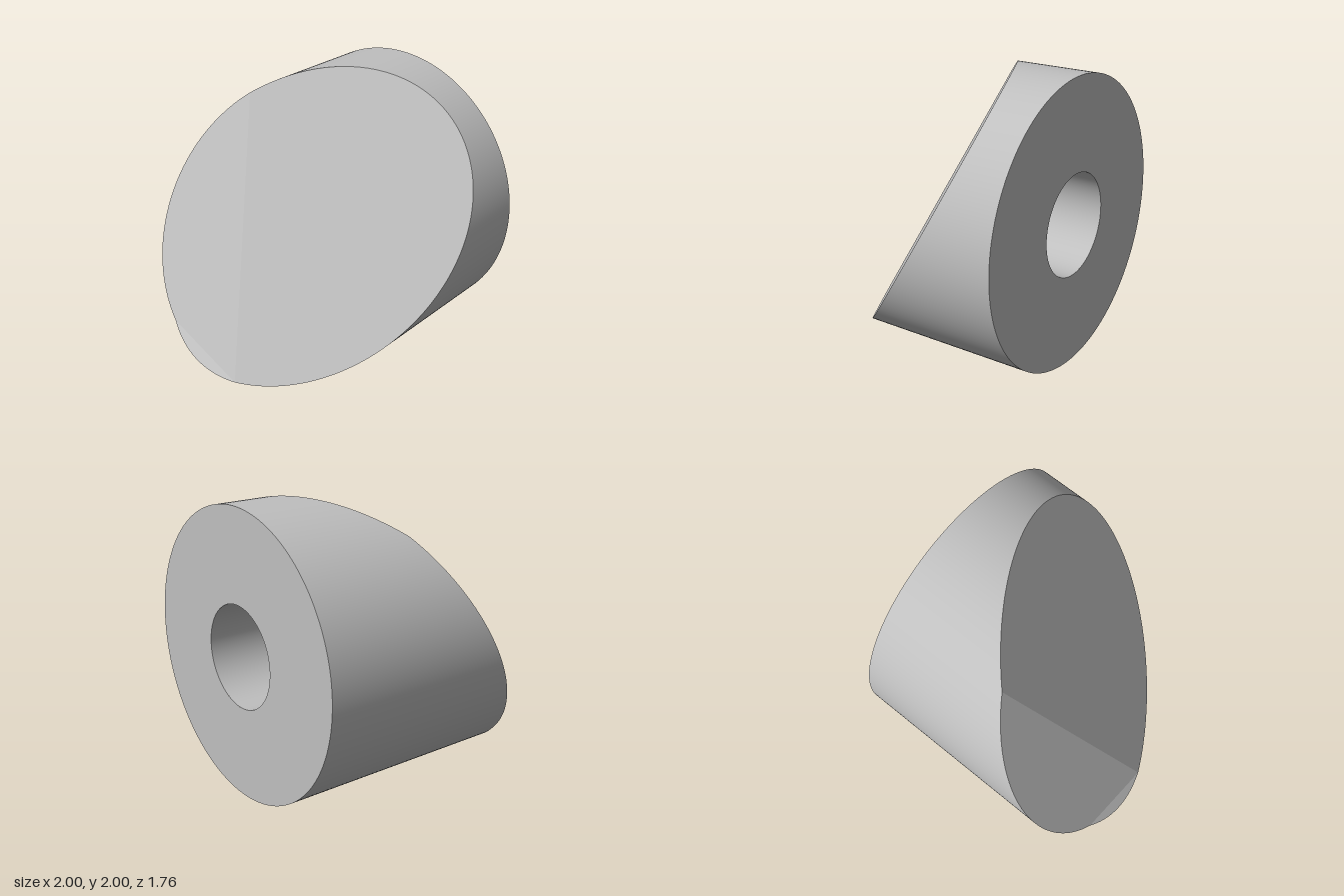
import * as THREE from 'three';

const R = 1, HOLE_R = 0.355, BACK = -0.88, HOLE_FLOOR = -0.26, STEP = 2;

// Point on the rim circle at an angle in degrees
const rim = (deg, z = 0) => {
  const a = THREE.MathUtils.degToRad(deg);
  return new THREE.Vector3(R * Math.cos(a), R * Math.sin(a), z);
};

// Height function of the plane through three points
function planeHeight(a, b, c) {
  const p = new THREE.Plane().setFromCoplanarPoints(a, b, c);
  return (x, y) => -(p.constant + p.normal.x * x + p.normal.y * y) / p.normal.z;
}

export function createModel() {
  const grey = new THREE.MeshStandardMaterial({ color: 0xbfbfbf });
  const model = new THREE.Group();
  const body = new THREE.Group();
  body.position.y = R;
  model.add(body);
  const add = (name, geometry) => {
    const mesh = new THREE.Mesh(geometry, grey);
    mesh.name = name;
    body.add(mesh);
  };

  // Slanted front: three flat facets meeting along chords of the rim
  const top = rim(128, 0.03), low = rim(266, 0.82), side = rim(228, 0.81);
  const facets = [
    { name: 'mainFrontFacet', from: -94, to: 128, corners: [], z: planeHeight(top, low, rim(0, -0.3)) },
    { name: 'sideFrontFacet', from: 128, to: 228, corners: [266], z: planeHeight(top, low, side) },
    { name: 'lowerFrontFacet', from: 228, to: 266, corners: [], z: planeHeight(side, low, rim(250, 0.876)) },
  ];
  for (const f of facets) {
    const outline = [];
    for (let d = f.from; d <= f.to; d += STEP) outline.push(rim(d));
    for (const d of f.corners) outline.push(rim(d));
    const geo = new THREE.ShapeGeometry(new THREE.Shape(outline.map(p => new THREE.Vector2(p.x, p.y))));
    const pos = geo.attributes.position;
    for (let i = 0; i < pos.count; i++) pos.setZ(i, f.z(pos.getX(i), pos.getY(i)));
    geo.computeVertexNormals();
    add(f.name, geo);
  }

  // Outer wall, its front edge moved onto the facets
  const wall = new THREE.CylinderGeometry(R, R, 2, 360 / STEP, 1, true).rotateX(Math.PI / 2);
  const pos = wall.attributes.position;
  for (let i = 0; i < pos.count; i++) {
    const x = pos.getX(i), y = pos.getY(i);
    let deg = Math.round(THREE.MathUtils.radToDeg(Math.atan2(y, x)));
    if (deg < -94) deg += 360;
    const facet = facets.find(f => deg >= f.from && deg <= f.to);
    pos.setZ(i, pos.getZ(i) > 0 ? facet.z(x, y) : BACK);
  }
  add('outerWall', wall);

  // Flat back with a round blind hole
  add('backFace', new THREE.RingGeometry(HOLE_R, R, 180).rotateY(Math.PI).translate(0, 0, BACK));
  const depth = HOLE_FLOOR - BACK;
  const bore = new THREE.CylinderGeometry(HOLE_R, HOLE_R, depth, 96, 1, true)
    .rotateX(Math.PI / 2).translate(0, 0, BACK + depth / 2);
  // Turn the bore to face inward
  bore.index.array.reverse();
  const n = bore.attributes.normal;
  for (let i = 0; i < n.count; i++) n.setXYZ(i, -n.getX(i), -n.getY(i), -n.getZ(i));
  add('holeWall', bore);
  add('holeFloor', new THREE.CircleGeometry(HOLE_R, 96).rotateY(Math.PI).translate(0, 0, HOLE_FLOOR));

  return model;
}
